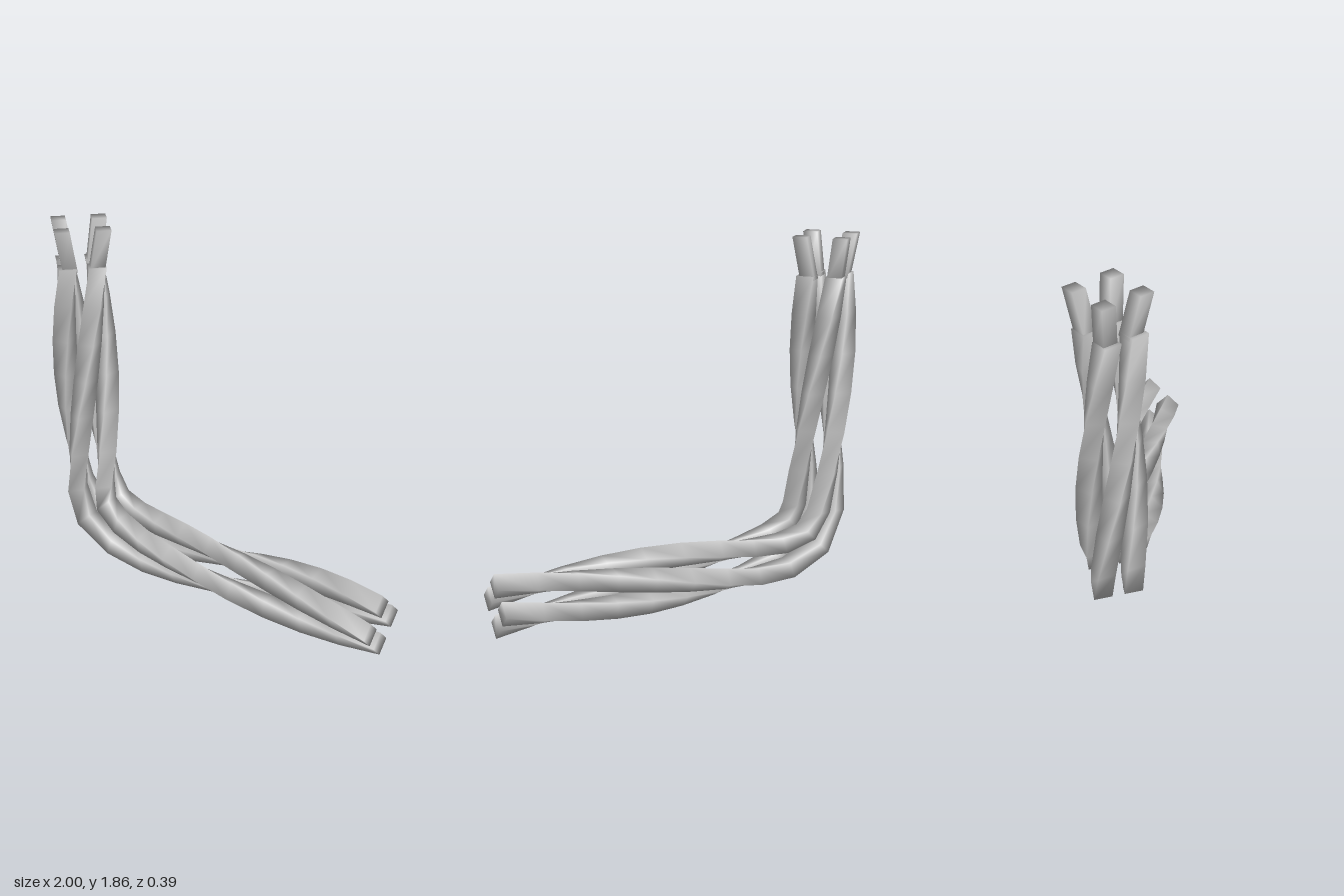
import * as THREE from 'three';

const material = new THREE.MeshStandardMaterial({ color: 0xcccccc });

// Centre line of the bundle: down the upright, round the bend, along the floor
const path = [
  [-0.805, 1.66], [-0.804, 1.46], [-0.8, 1.26], [-0.795, 1.06], [-0.79, 0.86], [-0.782, 0.64],
  [-0.77, 0.43], [-0.712, 0.29], [-0.56, 0.21], [-0.38, 0.18], [-0.2, 0.173],
  [0, 0.171], [0.2, 0.17], [0.4, 0.17], [0.6, 0.17], [0.8, 0.17], [1, 0.17],
].map(([x, y]) => new THREE.Vector3(x, y, 0.008));

const STRANDS = 4;
const TWIST = 1.5 * Math.PI; // whole turn of the bundle from end to end
const ORBIT = 0.105; // strand centre to bundle centre
const STRAND_R = 0.063;
const TIP_R = 0.052;
const ACROSS = new THREE.Vector3(0, 0, 1);

// Point at a given angle and distance in the plane of normal n and the z axis
const around = (centre, n, angle, r) => centre.clone()
  .addScaledVector(n, Math.cos(angle) * r)
  .addScaledVector(ACROSS, Math.sin(angle) * r);

// Four-cornered ring, one corner pointing away from the bundle centre
const ring = (centre, n, angle, r) =>
  [0, 1, 2, 3].map((j) => around(centre, n, angle + j * Math.PI / 2, r));

// Smooth closed skin over the rings; the caps share the ring corners
function skin(rings, name) {
  const last = rings.length - 1;
  const index = [];
  for (let i = 0; i < last; i++) {
    for (let j = 0; j < 4; j++) {
      const a = i * 4 + j, b = i * 4 + (j + 1) % 4;
      index.push(a, b, b + 4, a, b + 4, a + 4);
    }
  }
  const e = last * 4;
  index.push(0, 2, 1, 0, 3, 2, e, e + 1, e + 2, e, e + 2, e + 3);
  const geometry = new THREE.BufferGeometry().setFromPoints(rings.flat());
  geometry.setIndex(index);
  geometry.computeVertexNormals();
  const mesh = new THREE.Mesh(geometry, material);
  mesh.name = name;
  return mesh;
}

export function createModel() {
  const group = new THREE.Group();
  group.name = 'twistedCable';

  // Distance along the path, which spreads the twist evenly
  const run = [0];
  for (let i = 1; i < path.length; i++) run.push(run[i - 1] + path[i].distanceTo(path[i - 1]));
  const total = run[run.length - 1];

  // In-plane normal at each path point, pointing to the inside of the bend
  const normals = path.map((p, i) => {
    if (i === 0) return new THREE.Vector3(1, 0, 0);
    if (i === path.length - 1) return new THREE.Vector3(0, 1, 0);
    const t = path[i + 1].clone().sub(path[i - 1]).normalize();
    return new THREE.Vector3(-t.y, t.x, 0);
  });

  for (let k = 0; k < STRANDS; k++) {
    const start = k * 2 * Math.PI / STRANDS;

    // Insulated strand
    const rings = path.map((p, i) => {
      const angle = start + run[i] / total * TWIST;
      return ring(around(p, normals[i], angle, ORBIT), normals[i], angle, STRAND_R);
    });
    group.add(skin(rings, `strand${k + 1}`));

    // Bare tip splaying outwards from the upper end
    const side = new THREE.Vector3(1, 0, 0);
    const top = around(new THREE.Vector3(-0.803, 1.86, 0), side, start, 0.145);
    const base = around(new THREE.Vector3(-0.803, 1.64, 0), side, start, 0.096);
    group.add(skin([top, base].map((c) => ring(c, side, start, TIP_R)), `tip${k + 1}`));
  }
  return group;
}
